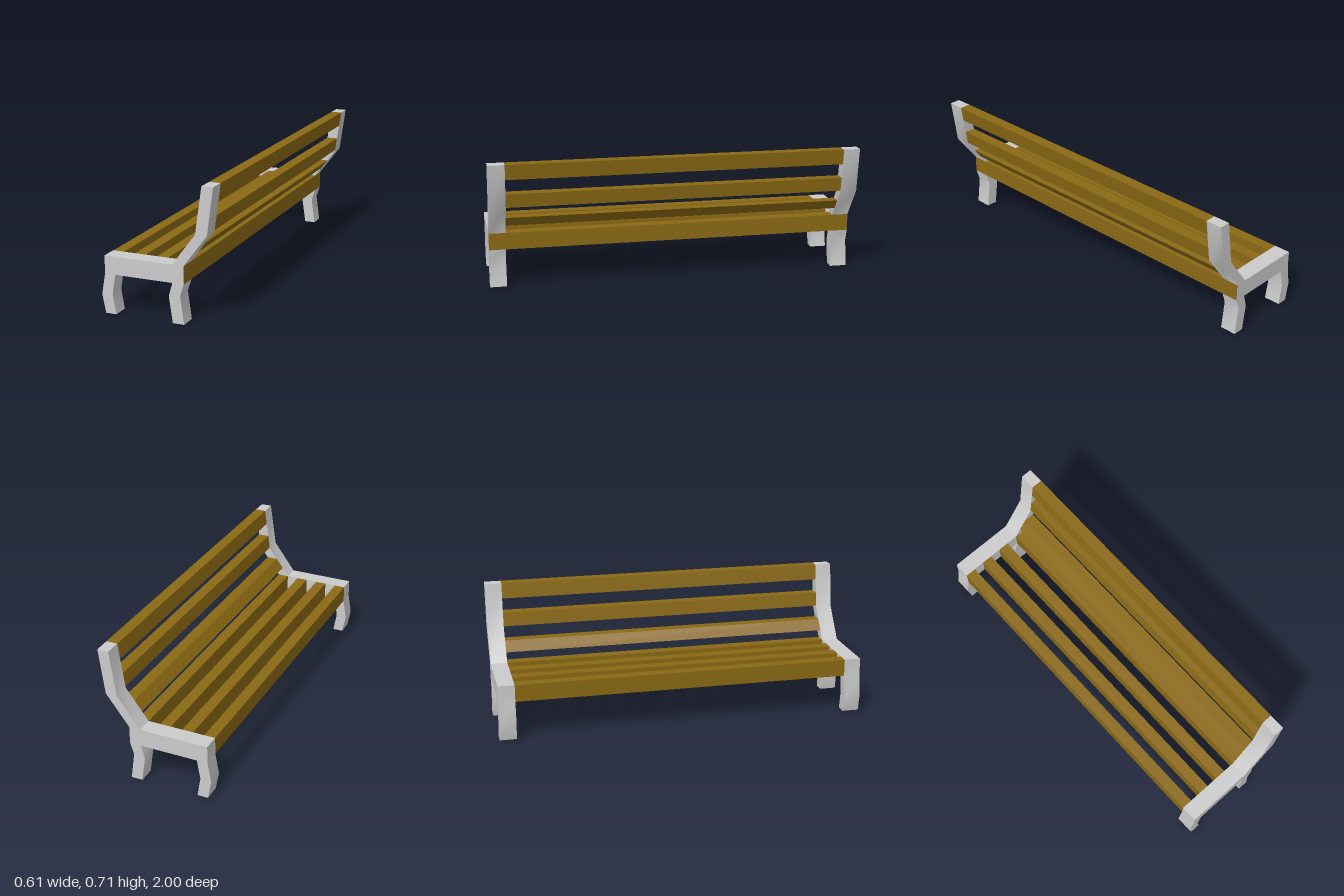
import * as THREE from 'three';
import { toCreasedNormals } from 'three/addons/utils/BufferGeometryUtils.js';

const frameMaterial = new THREE.MeshStandardMaterial({ color: 0xcccccc });
const woodMaterial = new THREE.MeshStandardMaterial({ color: 0x8b6914 });

// Extrudes an x-y profile along z, between z0 and z1
function extrude(name, points, z0, z1, material) {
  const shape = new THREE.Shape(points.map(([x, y]) => new THREE.Vector2(x, y)));
  const flat = new THREE.ExtrudeGeometry(shape, { depth: z1 - z0, bevelEnabled: false });
  flat.translate(0, 0, z0);
  const mesh = new THREE.Mesh(toCreasedNormals(flat, THREE.MathUtils.degToRad(40)), material);
  mesh.name = name;
  return mesh;
}

export function createModel() {
  const bench = new THREE.Group();
  bench.name = 'bench';
  const inner = 0.91;

  // End frames: legs, seat rail and backrest post in one outline
  const frame = [
    [-0.286, 0], [-0.228, 0], [-0.246, 0.104], [-0.228, 0.208],
    [0.084, 0.208], [0.064, 0.138], [0.084, 0], [0.145, 0],
    [0.125, 0.146], [0.145, 0.208], [0.145, 0.302], [0.27, 0.468],
    [0.303, 0.71], [0.243, 0.71], [0.208, 0.468], [0.084, 0.302],
    [-0.286, 0.302], [-0.286, 0.208], [-0.305, 0.098],
  ];
  bench.add(extrude('leftEndFrame', frame, inner, 1, frameMaterial));
  bench.add(extrude('rightEndFrame', frame, -1, -inner, frameMaterial));

  // Seat slats
  [-0.286, -0.164, -0.041].forEach((x, i) => {
    const profile = [[x, 0.209], [x + 0.06, 0.209], [x + 0.06, 0.301], [x, 0.301]];
    bench.add(extrude(`seatSlat${i + 1}`, profile, -inner, inner, woodMaterial));
  });

  // Rear seat slat runs the full length, over the end frames
  const rear = [[0.085, 0.209], [0.146, 0.209], [0.146, 0.301], [0.085, 0.301]];
  bench.add(extrude('rearSeatSlat', rear, -0.9995, 0.9995, woodMaterial));

  // Backrest slats follow the slope of the posts
  const postFront = (y) => (y < 0.468
    ? THREE.MathUtils.mapLinear(y, 0.302, 0.468, 0.084, 0.208)
    : THREE.MathUtils.mapLinear(y, 0.468, 0.71, 0.208, 0.243));
  [[0.35, 0.405], [0.473, 0.548], [0.627, 0.71]].forEach(([y0, y1], i) => {
    const a = postFront(y0), b = postFront(y1);
    const profile = [[a, y0], [a + 0.061, y0], [b + 0.061, y1], [b, y1]];
    bench.add(extrude(`backSlat${i + 1}`, profile, -inner, inner, woodMaterial));
  });
  return bench;
}
